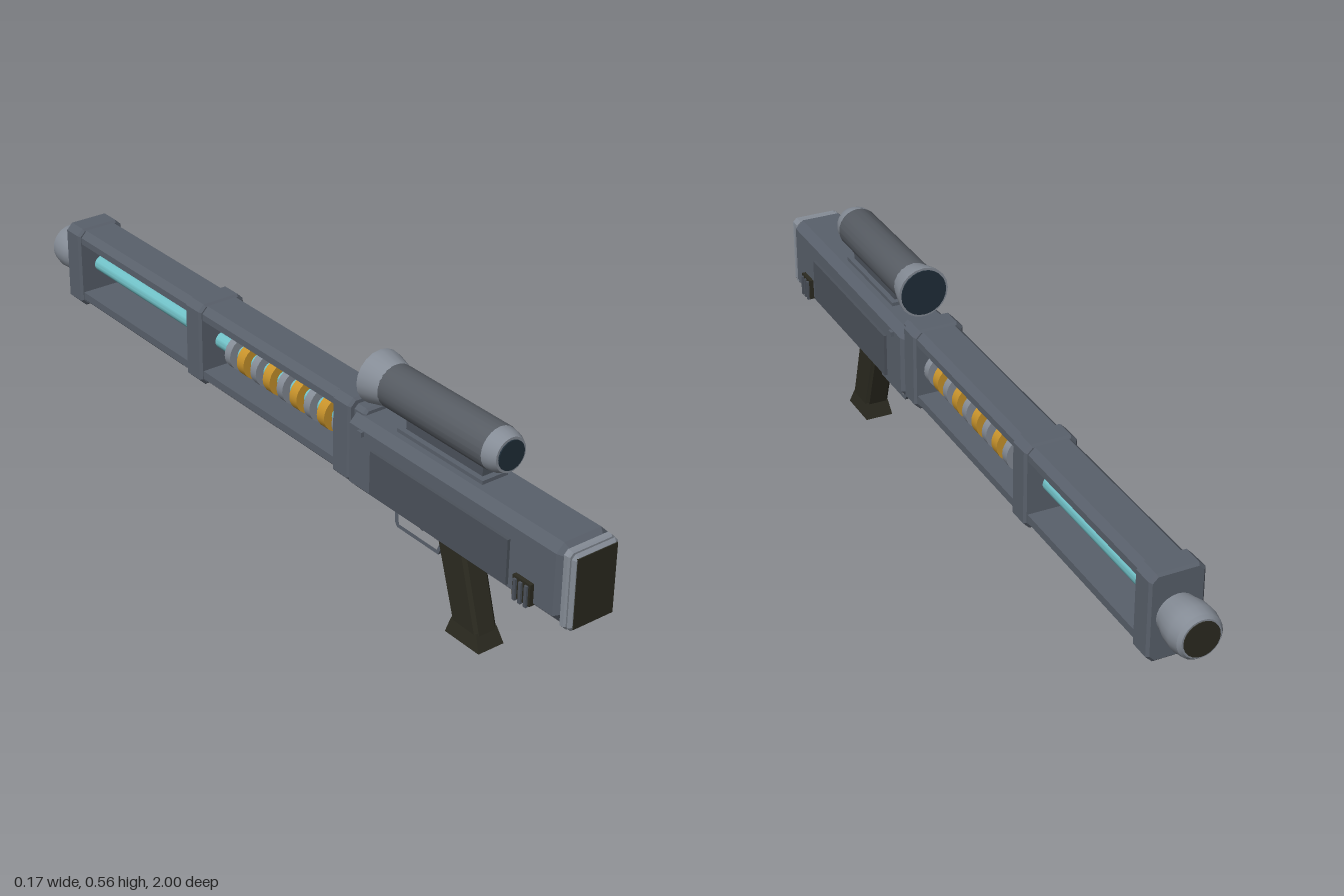
import * as THREE from 'three';
import { toCreasedNormals } from 'three/addons/utils/BufferGeometryUtils.js';

function material(name, color) {
  const m = new THREE.MeshStandardMaterial({ color });
  m.name = name;
  return m;
}

export function createModel() {
  const model = new THREE.Group();
  model.name = 'rifle';
  const body = material('blue grey metal', 0x59606b);
  const panelGrey = material('dark panel grey', 0x4c525b);
  const tubeGrey = material('scope grey', 0x565b62);
  const steel = material('light steel', 0x858c96);
  const rubber = material('black rubber', 0x2b2a20);
  const gold = material('gold', 0xc8932b);
  const cyan = material('cyan', 0x70c0c6);
  const glass = material('dark glass', 0x1f2d38);

  function add(name, geometry, mat, parent = model) {
    const mesh = new THREE.Mesh(geometry, mat);
    mesh.name = name;
    parent.add(mesh);
    return mesh;
  }

  function box(name, mat, x0, x1, y0, y1, z0, z1, parent) {
    const g = new THREE.BoxGeometry(x1 - x0, y1 - y0, z1 - z0);
    g.translate((x0 + x1) / 2, (y0 + y1) / 2, (z0 + z1) / 2);
    return add(name, g, mat, parent);
  }

  // Bar along z; cut corners (top, bottom) and bevelled ends
  function prism(name, mat, w, y0, y1, z0, z1, cutTop, cutBottom, bevel) {
    const s = new THREE.Shape([
      [w - cutBottom, y0], [w, y0 + cutBottom], [w, y1 - cutTop], [w - cutTop, y1],
      [cutTop - w, y1], [-w, y1 - cutTop], [-w, y0 + cutBottom], [cutBottom - w, y0],
    ].map(([x, y]) => new THREE.Vector2(x, y)));
    const g = new THREE.ExtrudeGeometry(s, {
      depth: z1 - z0 - 2 * bevel, bevelEnabled: bevel > 0, bevelThickness: bevel,
      bevelSize: bevel, bevelOffset: -bevel, bevelSegments: 1,
    });
    g.translate(0, 0, z0 + bevel);
    return add(name, g, mat);
  }

  // Turned part along z from [radius, z] points, z rising
  function turned(name, mat, y, points, sides = 24) {
    const g = new THREE.LatheGeometry(points.map(([r, z]) => new THREE.Vector2(r, z)), sides);
    g.rotateX(Math.PI / 2);
    g.translate(0, y, 0);
    return add(name, toCreasedNormals(g, 0.45), mat);
  }
  const disc = (name, mat, y, r, z0, z1) =>
    turned(name, mat, y, [[0, z0], [r, z0], [r, z1], [0, z1]]);

  // Side outline in (z, y), extruded across x
  function sidePlate(name, mat, outline, halfWidth, bevel, hole) {
    const s = new THREE.Shape(outline.map(([z, y]) => new THREE.Vector2(z, y)));
    if (hole) s.holes.push(new THREE.Path(hole.map(([z, y]) => new THREE.Vector2(z, y))));
    const g = new THREE.ExtrudeGeometry(s, {
      depth: 2 * (halfWidth - bevel), bevelEnabled: bevel > 0, bevelThickness: bevel,
      bevelSize: bevel, bevelOffset: -bevel, bevelSegments: 1,
    });
    g.translate(0, 0, bevel - halfWidth);
    g.rotateY(-Math.PI / 2);
    return add(name, g, mat);
  }

  // Receiver and shoulder end
  prism('receiver', body, 0.07, 0.228, 0.418, 0.275, 0.968, 0.02, 0.022, 0.014);
  prism('receiverNeck', body, 0.05, 0.39, 0.432, 0.275, 0.315, 0.01, 0, 0.006);
  prism('buttPlate', steel, 0.064, 0.225, 0.412, 0.966, 0.984, 0.01, 0.01, 0.004);
  prism('buttPad', steel, 0.063, 0.227, 0.41, 0.984, 0.998, 0.01, 0.01, 0.007);
  box('buttPadFace', rubber, -0.054, 0.054, 0.235, 0.402, 0.992, 1.0);

  // Side panels, vents and studs
  for (const side of [-1, 1]) {
    const group = new THREE.Group();
    group.name = side > 0 ? 'leftSideDetails' : 'rightSideDetails';
    model.add(group);
    const detail = (name, mat, x, ...rest) =>
      box(name, mat, Math.min(side * 0.06, side * x), Math.max(side * 0.06, side * x), ...rest, group);
    detail('sidePanel', panelGrey, 0.077, 0.256, 0.365, 0.37, 0.82);
    detail('vent', rubber, 0.08, 0.245, 0.297, 0.843, 0.897);
    for (let i = 0; i < 3; i++) {
      const z = 0.853 + i * 0.017;
      detail('ventRib', panelGrey, 0.085, 0.241, 0.292, z - 0.004, z + 0.004);
    }
    detail('stud', body, 0.078, 0.385, 0.397, 0.325, 0.34);
  }

  // Barrel frame
  prism('topRail', body, 0.057, 0.408, 0.441, -0.86, 0.25, 0.016, 0, 0);
  prism('bottomRail', body, 0.057, 0.236, 0.272, -0.86, 0.25, 0, 0.016, 0);
  for (const z of [0.249, -0.328, -0.87])
    prism('collar', body, 0.065, 0.232, 0.446, z - 0.031, z + 0.031, 0.016, 0.016, 0.006);

  // Energy rod with alternating rings
  disc('rod', cyan, 0.34, 0.021, -0.86, 0.25);
  for (let i = 0; i < 9; i++) {
    const z = 0.2 - i * 0.052;
    const half = i % 2 ? 0.0135 : 0.011;
    disc(i % 2 ? 'goldRing' : 'steelRing', i % 2 ? gold : steel, 0.34, 0.043, z - half, z + half);
  }

  // Muzzle
  turned('muzzle', steel, 0.34, [[0, -0.998], [0.046, -0.998], [0.053, -0.99], [0.058, -0.965],
    [0.056, -0.935], [0.049, -0.91], [0.047, -0.895]]);
  disc('muzzleOpening', rubber, 0.34, 0.042, -1.0, -0.992);

  // Scope
  turned('scopeTube', tubeGrey, 0.498, [[0.05, 0.35], [0.052, 0.365], [0.052, 0.695], [0.05, 0.7]]);
  turned('eyepiece', steel, 0.498, [[0.051, 0.698], [0.048, 0.718], [0.041, 0.734], [0, 0.734]]);
  turned('scopeFlare', steel, 0.498, [[0, 0.303], [0.064, 0.303], [0.063, 0.314], [0.05, 0.366]], 20);
  disc('eyepieceLens', glass, 0.498, 0.035, 0.73, 0.737);
  disc('frontLens', glass, 0.498, 0.058, 0.3, 0.306);
  box('scopeMountBase', body, -0.035, 0.035, 0.41, 0.427, 0.41, 0.69);
  box('scopeMount', panelGrey, -0.022, 0.022, 0.425, 0.456, 0.425, 0.675);

  // Grip with flared foot
  sidePlate('grip', rubber, [[0.69, 0.03], [0.605, 0.03], [0.537, 0.245], [0.628, 0.245]].reverse(), 0.031, 0.008);
  const foot = new THREE.BoxGeometry(1, 1, 1);
  const p = foot.attributes.position;
  for (let i = 0; i < p.count; i++) {
    const top = p.getY(i) > 0;
    const back = p.getZ(i) > 0;
    p.setXYZ(i, Math.sign(p.getX(i)) * (top ? 0.029 : 0.036), top ? 0.04 : 0,
      top ? (back ? 0.686 : 0.603) : (back ? 0.704 : 0.592));
  }
  foot.computeVertexNormals();
  add('gripFoot', foot, rubber);

  // Trigger and guard
  sidePlate('triggerGuard', body,
    [[0.555, 0.235], [0.555, 0.205], [0.535, 0.16], [0.393, 0.16], [0.386, 0.17], [0.382, 0.235]], 0.014, 0,
    [[0.545, 0.229], [0.545, 0.206], [0.53, 0.17], [0.399, 0.17], [0.394, 0.229]]);
  sidePlate('trigger', panelGrey,
    [[0.49, 0.235], [0.474, 0.235], [0.472, 0.205], [0.463, 0.188], [0.471, 0.186], [0.481, 0.203]], 0.007, 0);

  return model;
}
